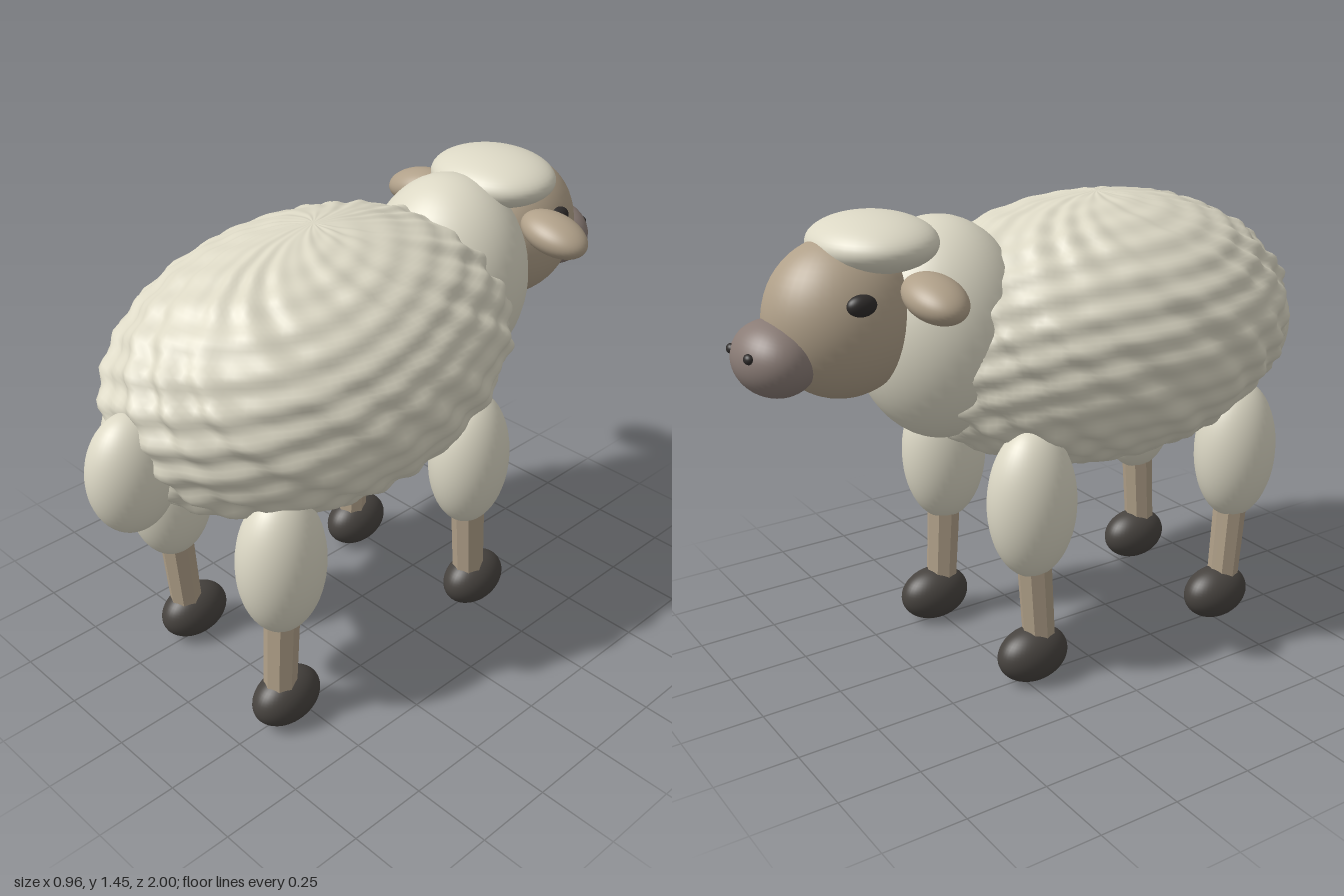
import * as THREE from 'three';
import { mergeVertices } from 'three/addons/utils/BufferGeometryUtils.js';

const mat = (name, color, flatShading = false) => {
  const m = new THREE.MeshStandardMaterial({ color, flatShading });
  m.name = name;
  return m;
};

export function createModel() {
  const wool = mat('wool', 0xdcd8c5);
  const skin = mat('skin', 0xb0a089);
  const legSkin = skin.clone();
  legSkin.flatShading = true;
  const muzzleMat = mat('muzzle', 0x8a7c76);
  const hoofMat = mat('hoof', 0x47433f);
  const eyeMat = mat('eye', 0x2e2b2a);

  const model = new THREE.Group();
  model.name = 'sheep';
  const ball = new THREE.SphereGeometry(1, 40, 28);

  // Scaled ellipsoid: position, radii, optional rotation
  const blob = (name, material, pos, radii, rot = [0, 0, 0], parent = model) => {
    const m = new THREE.Mesh(ball, material);
    m.name = name;
    m.position.set(...pos);
    m.scale.set(...radii);
    m.rotation.set(...rot);
    parent.add(m);
    return m;
  };

  // Fleece: sphere with ridged ripples fading out toward the poles
  let fleece = new THREE.SphereGeometry(1, 144, 90);
  fleece.deleteAttribute('uv');
  fleece.deleteAttribute('normal');
  const p = fleece.attributes.position;
  const v = new THREE.Vector3();
  for (let i = 0; i < p.count; i++) {
    v.fromBufferAttribute(p, i);
    const t = Math.acos(THREE.MathUtils.clamp(v.y, -1, 1));
    const a = Math.atan2(v.z, v.x);
    const ripple = 0.5 * Math.sin(18 * a + 13 * t + 1.2 * Math.sin(5 * a))
      + 0.4 * Math.sin(7 * a - 29 * t + 1.5 * Math.sin(3 * a))
      + 0.3 * Math.sin(25 * a + 21 * t);
    v.multiplyScalar(1 + 0.03 * Math.sin(t) * ripple);
    p.setXYZ(i, v.x * 0.467, v.y * 0.42, v.z * 0.69);
  }
  fleece = mergeVertices(fleece, 1e-5);
  fleece.computeVertexNormals();
  const body = new THREE.Mesh(fleece, wool);
  body.name = 'fleece';
  body.position.set(0, 1.01, 0.19);
  model.add(body);

  // Neck, tail and head
  blob('neck', wool, [0, 1.09, -0.37], [0.26, 0.33, 0.26]);
  blob('tail', wool, [0, 0.905, 0.865], [0.105, 0.182, 0.135]);
  blob('head', skin, [0, 1.17, -0.68], [0.19, 0.23, 0.225]);
  blob('woolCap', wool, [0, 1.37, -0.575], [0.21, 0.082, 0.18]);
  blob('muzzle', muzzleMat, [0, 1.087, -0.885], [0.14, 0.108, 0.115], [0.25, 0, 0]);

  for (const s of [-1, 1]) {
    blob('ear', skin, [s * 0.285, 1.265, -0.54], [0.118, 0.058, 0.082], [0, 0, -s * 0.22]);
    blob('eye', eyeMat, [s * 0.172, 1.243, -0.7], [0.027, 0.031, 0.044]);
    blob('nostril', eyeMat, [s * 0.06, 1.115, -0.98], [0.018, 0.015, 0.015]);
  }

  // Legs: woolly thigh, tapered shin and hoof, set in a slight stride
  const up = new THREE.Vector3(0, 1, 0);
  const shinGeo = new THREE.CylinderGeometry(0.055, 0.05, 1, 8);
  for (const [x, z, stride] of [[0.26, -0.22, -0.025], [-0.26, -0.22, 0.025],
    [0.26, 0.57, 0.025], [-0.26, 0.57, -0.03]]) {
    const leg = new THREE.Group();
    leg.name = z < 0 ? 'frontLeg' : 'hindLeg';
    blob('thigh', wool, [x, 0.59, z], [0.12, 0.235, 0.14], [0, 0, 0], leg);
    const top = new THREE.Vector3(x, 0.5, z);
    const foot = new THREE.Vector3(x, 0.1, z + stride);
    const shin = new THREE.Mesh(shinGeo, legSkin);
    shin.name = 'shin';
    shin.position.copy(top).add(foot).multiplyScalar(0.5);
    shin.scale.y = top.distanceTo(foot);
    shin.quaternion.setFromUnitVectors(up, top.sub(foot).normalize());
    leg.add(shin);
    blob('hoof', hoofMat, [x, 0.088, z + stride - 0.025], [0.079, 0.088, 0.118], [0, 0, 0], leg);
    model.add(leg);
  }
  return model;
}
